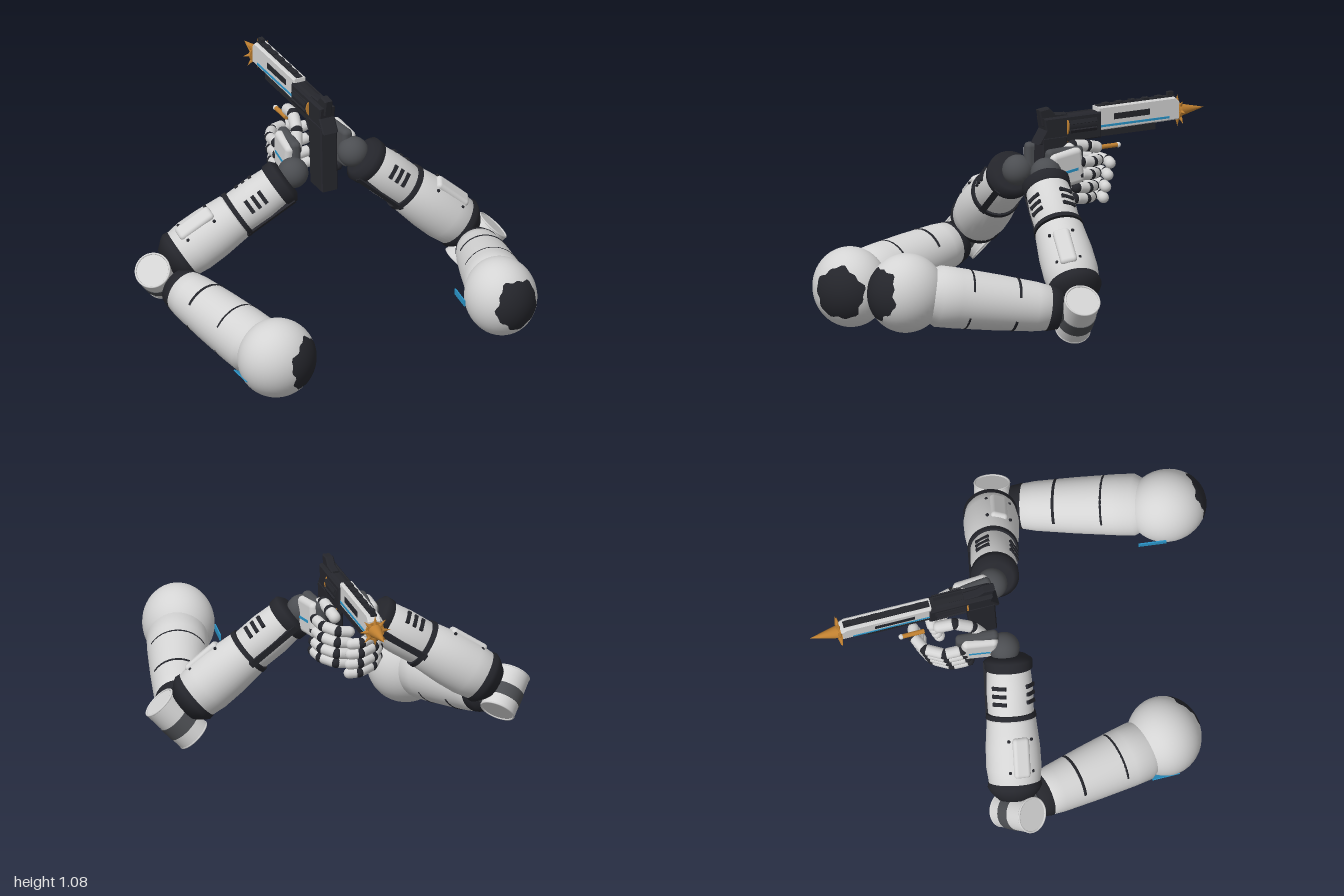
import * as THREE from 'three';
import { RoundedBoxGeometry } from 'three/addons/geometries/RoundedBoxGeometry.js';

const mat = (name, color) => Object.assign(new THREE.MeshStandardMaterial({ color }), { name });
const white = mat('shell white', 0xd4d4d4);
const black = mat('trim black', 0x25262c);
const gray = mat('joint gray', 0x4c4e52);
const bronze = mat('bronze', 0xc08030);
const blue = mat('accent blue', 0x2a94c8);

const V = (a) => new THREE.Vector3(...a);
const UP = new THREE.Vector3(0, 1, 0);

function add(parent, name, geo, material, pos = [0, 0, 0], rot = [0, 0, 0]) {
  const m = new THREE.Mesh(geo, material);
  m.name = name;
  m.position.set(...pos);
  m.rotation.set(...rot);
  parent.add(m);
  return m;
}
const box = (w, h, d) => new THREE.BoxGeometry(w, h, d);
const rbox = (w, h, d, r) => new RoundedBoxGeometry(w, h, d, 3, r);
const cyl = (r1, r2, h, n = 28) => new THREE.CylinderGeometry(r1, r2, h, n);
const lathe = (pts) => new THREE.LatheGeometry(pts.map((p) => new THREE.Vector2(...p)), 36);
// Ring lying around the limb's y axis
const ring = (r, t, start = 0, arc = Math.PI * 2) =>
  new THREE.TorusGeometry(r, t, 8, 40, arc).rotateZ(start).rotateX(Math.PI / 2);

// Group whose y axis runs from a to b and whose z axis leans to "face"
function limb(parent, name, a, b, face) {
  const g = new THREE.Group();
  const y = V(b).sub(V(a));
  const length = y.length();
  y.normalize();
  const z = V(face).addScaledVector(y, -V(face).dot(y)).normalize();
  g.quaternion.setFromRotationMatrix(new THREE.Matrix4().makeBasis(y.clone().cross(z), y, z));
  g.position.set(...a);
  g.name = name;
  parent.add(g);
  return { g, length };
}

// Places a part on the limb's skin, turned by an angle round its axis
function onSkin(g, name, geo, material, r, angle, y, dx = 0) {
  const pivot = new THREE.Group();
  pivot.rotation.y = angle;
  add(pivot, name, geo, material, [dx, y, r]);
  g.add(pivot);
}

// Shoulder ball with a ragged dark patch
function shoulder(arm, pos, radii, patchDir) {
  add(arm, 'shoulder', new THREE.SphereGeometry(1, 40, 28).scale(...radii), white, pos);
  const cap = new THREE.SphereGeometry(1.008, 48, 14, 0, Math.PI * 2, 0, 0.7);
  const p = cap.attributes.position;
  for (let i = 0; i < p.count; i++) {
    const v = new THREE.Vector3().fromBufferAttribute(p, i);
    const az = Math.atan2(v.z, v.x);
    const polar = Math.acos(Math.min(1, v.y / 1.008)) * (1 + 0.07 * Math.sin(az * 5) + 0.05 * Math.sin(az * 11));
    v.setFromSphericalCoords(1.008, polar, Math.atan2(v.x, v.z));
    p.setXYZ(i, v.x, v.y, v.z);
  }
  cap.applyQuaternion(new THREE.Quaternion().setFromUnitVectors(UP, V(patchDir).normalize()));
  cap.scale(...radii);
  cap.computeVertexNormals();
  add(arm, 'shoulderPatch', cap, black, pos);
}

function upperArm(arm, from, to) {
  const { g, length: L } = limb(arm, 'upperArm', from, to, [0, 1, 0]);
  const radius = (t) => 0.148 - 0.045 * t;
  add(g, 'upperArmShell', lathe([[0.1, 0.02], [0.143, 0.1], [0.141, L * 0.25], [0.13, L * 0.5],
    [0.115, L * 0.75], [0.105, L * 0.83], [0.08, L * 0.86], [0, L * 0.86]]), white);
  for (const t of [0.32, 0.62])
    for (const s of [0.15, 1.15])
      add(g, 'upperArmBand', ring(radius(t) - 0.003, 0.009, s * Math.PI, 0.7 * Math.PI), black, [0, L * t, 0]);
  add(g, 'elbowCollar', lathe([[0.09, L * 0.82], [0.108, L * 0.83], [0.095, L * 0.9], [0.06, L * 0.91], [0, L * 0.91]]), black);
  add(g, 'elbowLink', cyl(0.055, 0.07, 0.14), gray, [0, L * 0.93, 0]);
}

function elbow(arm, pos, axis, length) {
  const { g } = limb(arm, 'elbow', pos, V(pos).add(V(axis)).toArray(), [0, 0.2, 1]);
  add(g, 'elbowDrum', cyl(0.083, 0.083, length, 36), white);
  add(g, 'elbowBand', cyl(0.086, 0.086, length * 0.3, 36), gray, [0, -length * 0.08, 0]);
  for (const s of [-1, 1]) add(g, 'elbowRim', ring(0.08, 0.005), white, [0, s * length / 2, 0]);
}

function forearm(arm, from, to) {
  const { g, length: L } = limb(arm, 'forearm', from, to, [0, 1, 0.25]);
  add(g, 'elbowCuff', lathe([[0, -0.02], [0.08, -0.01], [0.115, 0.03], [0.126, 0.05], [0.122, 0.075]]), black);
  add(g, 'forearmShell', lathe([[0.1, 0.05], [0.119, 0.065], [0.128, 0.14], [0.126, L * 0.35],
    [0.114, L * 0.54], [0.09, L * 0.56]]), white);
  add(g, 'forearmRing', cyl(0.115, 0.118, 0.022, 36), black, [0, L * 0.57, 0]);
  add(g, 'wristShell', lathe([[0.09, L * 0.57], [0.106, L * 0.59], [0.108, L * 0.75], [0.1, L * 0.9], [0.08, L * 0.92]]), white);
  add(g, 'wristCuff', lathe([[0.09, L * 0.87], [0.11, L * 0.89], [0.112, L * 0.95], [0.085, L * 0.98], [0, L * 0.98]]), black);
  // Raised cover with four bolts
  onSkin(g, 'forearmCover', rbox(0.08, 0.19, 0.04, 0.018), white, 0.118, 0, L * 0.3);
  for (const dx of [-0.055, 0.055])
    for (const y of [0.2, 0.42]) onSkin(g, 'coverBolt', new THREE.SphereGeometry(0.008, 10, 8), black, 0.113, 0, L * y, dx);
  // Vents and lower fins on both sides
  for (const s of [-1, 1]) {
    for (let i = 0; i < 3; i++) onSkin(g, 'vent', box(0.07, 0.018, 0.03), black, 0.096, s * 0.8, L * (0.67 + i * 0.055));
    onSkin(g, 'lowerFin', box(0.03, L * 0.4, 0.022), black, 0.105, s * 2.05, L * 0.74);
  }
}

// Chain of white segments with dark knuckles
function finger(hand, name, pts, r = 0.026) {
  const g = new THREE.Group();
  g.name = name;
  hand.add(g);
  for (let i = 0; i < pts.length - 1; i++) {
    const a = V(pts[i]), b = V(pts[i + 1]), d = b.clone().sub(a);
    const seg = add(g, 'fingerSegment', new THREE.CapsuleGeometry(r, Math.max(0.01, d.length() - 1.35 * r), 5, 14), white);
    seg.position.copy(a).add(b).multiplyScalar(0.5);
    seg.quaternion.setFromUnitVectors(UP, d.normalize());
    add(g, 'knuckle', new THREE.SphereGeometry(r * 0.98, 14, 10), black, pts[i]);
  }
}

function hand(arm, wrist, palm, tilt, rows, path, thumb) {
  const g = new THREE.Group();
  g.name = 'hand';
  arm.add(g);
  const s = Math.sign(wrist[0]);
  add(g, 'wristBall', new THREE.SphereGeometry(0.072, 24, 16), gray, wrist);
  add(g, 'palm', rbox(0.05, 0.19, 0.2, 0.022), gray, [palm[0] - s * 0.025, palm[1], palm[2]], [0, tilt, 0]);
  add(g, 'handBack', rbox(0.05, 0.17, 0.17, 0.024), white, palm, [0.12, tilt, 0]);
  add(g, 'handStripe', box(0.006, 0.012, 0.1), blue, [palm[0] + s * 0.025, palm[1] - 0.01, palm[2]], [0.12, tilt, 0]);
  rows.forEach((y, i) => finger(g, 'finger', path.map(([x, dy, z]) => [x, y + dy, z + i * 0.012])));
  finger(g, 'thumb', thumb, 0.028);
}

// Slab cut from a side outline given as (-z, y)
function slab(parent, name, pts, w, material) {
  const geo = new THREE.ExtrudeGeometry(new THREE.Shape(pts.map((p) => new THREE.Vector2(...p))),
    { depth: w - 0.012, bevelSize: 0.006, bevelThickness: 0.006, bevelSegments: 1 });
  add(parent, name, geo.translate(0, 0, -w / 2 + 0.006).rotateY(Math.PI / 2), material);
}

function pistol() {
  const g = new THREE.Group();
  g.name = 'pistol';
  g.position.x = 0.073;
  const H = Math.PI / 2;
  slab(g, 'frame', [[0.11, 0.92], [0.15, 0.98], [0.14, 1.03], [0.25, 1.03], [0.43, 1.03], [0.43, 0.92]], 0.08, black);
  slab(g, 'hammer', [[0.14, 1.0], [0.125, 1.07], [0.17, 1.075], [0.2, 1.045], [0.26, 1.04], [0.26, 1.0]], 0.04, black);
  slab(g, 'grip', [[0.12, 0.62], [0.13, 0.94], [0.25, 0.94], [0.23, 0.62]], 0.085, black);
  // Fluted drum
  add(g, 'drum', cyl(0.05, 0.05, 0.15, 24), black, [0, 0.985, -0.335], [H, 0, 0]);
  for (let i = 0; i < 8; i++) {
    const a = (i + 0.5) * Math.PI / 4;
    add(g, 'drumRib', box(0.016, 0.016, 0.14), black, [0.05 * Math.cos(a), 0.985 + 0.05 * Math.sin(a), -0.335], [0, 0, a]);
  }
  add(g, 'drumBand', cyl(0.053, 0.053, 0.007, 24), bronze, [0, 0.985, -0.256], [H, 0, 0]);
  // Barrel
  slab(g, 'barrel', [[0.43, 0.95], [0.43, 1.05], [0.83, 1.05], [0.85, 1.03], [0.85, 0.955]], 0.064, white);
  add(g, 'underBarrel', box(0.055, 0.035, 0.3), black, [0, 0.934, -0.58]);
  add(g, 'topRail', box(0.03, 0.012, 0.41), black, [0, 1.055, -0.635]);
  for (let i = 0; i < 5; i++) add(g, 'railTooth', box(0.028, 0.01, 0.03), black, [0, 1.062, -0.48 - i * 0.07]);
  add(g, 'frontSight', box(0.02, 0.03, 0.03), black, [0, 1.065, -0.82]);
  for (const s of [-1, 1]) {
    add(g, 'barrelSlot', box(0.006, 0.028, 0.19), black, [s * 0.032, 1.005, -0.6]);
    add(g, 'barrelStripe', box(0.006, 0.01, 0.39), blue, [s * 0.032, 0.966, -0.605]);
  }
  // Spiked muzzle
  add(g, 'muzzle', cyl(0.045, 0.045, 0.012, 24), bronze, [0, 0.985, -0.857], [H, 0, 0]);
  add(g, 'muzzleSpike', new THREE.ConeGeometry(0.033, 0.14, 20), bronze, [0, 0.985, -0.93], [-H, 0, 0]);
  for (let i = 0; i < 8; i++) {
    const a = i * Math.PI / 4;
    add(g, 'crownSpike', new THREE.ConeGeometry(0.011, 0.04, 8), bronze,
      [-0.055 * Math.sin(a), 0.985 + 0.055 * Math.cos(a), -0.86], [0, 0, a]);
  }
  // Trigger and guard
  add(g, 'triggerGuard', new THREE.TorusGeometry(0.045, 0.008, 8, 28), black, [0, 0.88, -0.3], [0, H, 0]);
  add(g, 'trigger', box(0.014, 0.05, 0.012), bronze, [0, 0.89, -0.29], [0.3, 0, 0]);
  add(g, 'guardPin', cyl(0.011, 0.011, 0.11, 12), bronze, [-0.05, 0.845, -0.52], [H, 0, 0]);
  add(g, 'guardPinTip', new THREE.SphereGeometry(0.013, 12, 8), white, [-0.05, 0.845, -0.575]);
  return g;
}

export function createModel() {
  const model = new THREE.Group();
  model.name = 'robotArmsWithPistol';

  const right = new THREE.Group();
  right.name = 'rightArm';
  shoulder(right, [-0.525, 0.188, 0.535], [0.185, 0.187, 0.173], [0.62, 0, 0.76]);
  upperArm(right, [-0.55, 0.19, 0.5], [-0.72, 0.3, -0.2]);
  elbow(right, [-0.76, 0.315, -0.225], [-0.5, 0.6, 0.5], 0.2);
  forearm(right, [-0.7, 0.37, -0.22], [-0.14, 0.74, -0.11]);
  hand(right, [-0.115, 0.75, -0.12], [-0.1, 0.79, -0.24], -0.1, [0.81, 0.755, 0.7, 0.65],
    [[-0.1, 0, -0.32], [-0.095, -0.01, -0.4], [-0.045, -0.02, -0.48], [0.03, -0.03, -0.515], [0.09, -0.035, -0.5]],
    [[-0.06, 0.82, -0.2], [-0.03, 0.89, -0.25], [-0.01, 0.935, -0.33], [0, 0.92, -0.42]]);
  add(right, 'shoulderStripe', box(0.05, 0.006, 0.13), blue, [-0.675, 0.105, 0.5], [0, 0, -0.5]);

  const left = new THREE.Group();
  left.name = 'leftArm';
  shoulder(left, [0.49, 0.405, 0.815], [0.166, 0.185, 0.183], [0.1, 0.1, 1]);
  upperArm(left, [0.51, 0.4, 0.77], [0.73, 0.28, 0.06]);
  elbow(left, [0.745, 0.265, 0.05], [0.65, 0.7, 0.15], 0.23);
  forearm(left, [0.71, 0.34, 0.03], [0.2, 0.79, -0.08]);
  hand(left, [0.185, 0.8, -0.1], [0.185, 0.81, -0.21], 0.1, [0.83, 0.77, 0.71, 0.66],
    [[0.18, 0, -0.29], [0.165, -0.01, -0.36], [0.11, -0.02, -0.42], [0.04, -0.03, -0.42]],
    [[0.16, 0.85, -0.19], [0.135, 0.9, -0.27], [0.13, 0.89, -0.35], [0.12, 0.87, -0.42]]);
  add(left, 'shoulderStripe', box(0.006, 0.03, 0.13), blue, [0.335, 0.38, 0.705], [0, -0.12, 0]);

  model.add(right, left, pistol());
  return model;
}
